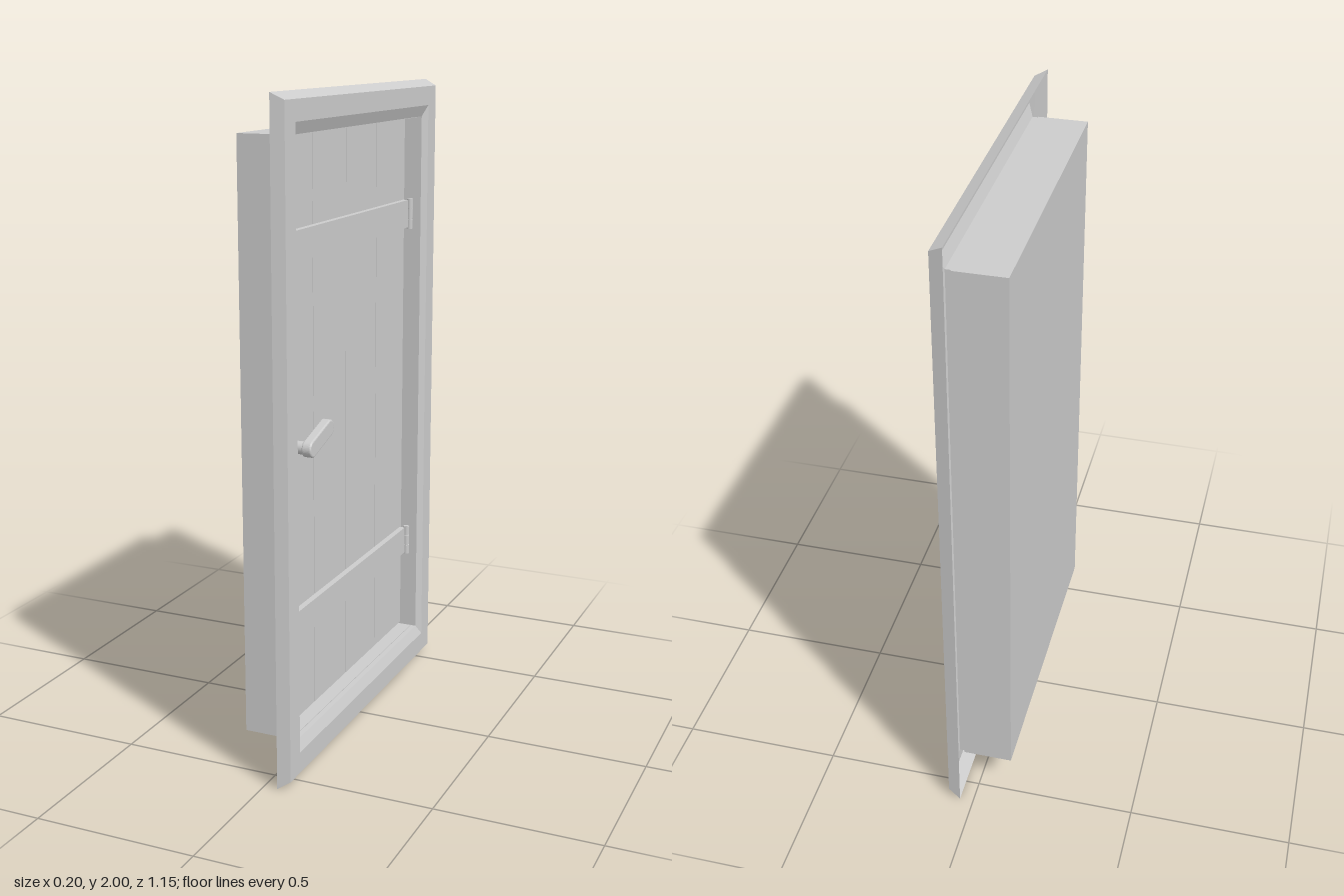
import * as THREE from 'three';

const grey = new THREE.MeshStandardMaterial({ color: 0xcccccc });
const flatGrey = new THREE.MeshStandardMaterial({ color: 0xcccccc, flatShading: true, side: THREE.DoubleSide });

// Box given by its limits on each axis
function block(name, [x0, x1], [y0, y1], [z0, z1]) {
  const mesh = new THREE.Mesh(new THREE.BoxGeometry(x1 - x0, y1 - y0, z1 - z0), grey);
  mesh.position.set((x0 + x1) / 2, (y0 + y1) / 2, (z0 + z1) / 2);
  mesh.name = name;
  return mesh;
}

// Skin joining rectangular rings, each [x, half width, bottom, top]
function rectangularSkin(rings) {
  const corners = ([x, w, b, t]) => [[x, b, w], [x, b, -w], [x, t, -w], [x, t, w]];
  const points = [];
  for (let r = 0; r < rings.length - 1; r++) {
    const a = corners(rings[r]), c = corners(rings[r + 1]);
    for (let i = 0; i < 4; i++) {
      const j = (i + 1) % 4;
      points.push(...a[i], ...a[j], ...c[j], ...a[i], ...c[j], ...c[i]);
    }
  }
  const geometry = new THREE.BufferGeometry();
  geometry.setAttribute('position', new THREE.Float32BufferAttribute(points, 3));
  geometry.computeVertexNormals();
  return geometry;
}

// Rounded lever with softened edges, rising away from its pivot
function lever() {
  const length = 0.12, r = 0.02, bevel = 0.005;
  const shape = new THREE.Shape();
  shape.absarc(0, 0, r, Math.PI / 2, Math.PI * 1.5, false);
  shape.absarc(length, 0, r, -Math.PI / 2, Math.PI / 2, false);
  const geometry = new THREE.ExtrudeGeometry(shape, {
    depth: 0.02, bevelThickness: bevel, bevelSize: bevel, bevelSegments: 3, curveSegments: 10,
  });
  geometry.rotateZ(0.29);
  geometry.rotateY(Math.PI / 2);
  const mesh = new THREE.Mesh(geometry, grey);
  mesh.position.set(0.073, 1.001, 0.424);
  mesh.name = 'handleLever';
  return mesh;
}

export function createModel() {
  const model = new THREE.Group();
  model.name = 'door';

  // Body behind the door and the sleeve carrying the trim
  model.add(block('backBody', [-0.103, 0], [0.12, 1.885], [-0.485, 0.485]));
  const sleeve = new THREE.Mesh(rectangularSkin([
    [0, 0.485, 0.12, 1.885],
    [0.05, 0.485, 0.12, 1.885],
    [0.05, 0.48, 0.124, 1.881],
  ]), flatGrey);
  sleeve.name = 'sleeve';
  model.add(sleeve);

  // Hollow trim: sloped rim, flat face, inner bevel and reveal
  const trim = new THREE.Mesh(rectangularSkin([
    [0.043, 0.575, 0, 2],
    [0.082, 0.565, 0.025, 1.98],
    [0.082, 0.5, 0.09, 1.92],
    [0.067, 0.48, 0.122, 1.885],
    [0, 0.48, 0.122, 1.885],
  ]), flatGrey);
  trim.name = 'frameTrim';
  model.add(trim);

  // Four vertical planks with narrow joints
  for (let i = 0; i < 4; i++) {
    const z = (i - 1.5) * 0.239;
    model.add(block('plank', [-0.005, 0.01], [0.13, 1.875], [z - 0.118, z + 0.118]));
  }

  // Cross straps with three-knuckle hinges
  for (const y of [0.44, 1.57]) {
    model.add(block('strap', [0.005, 0.029], [y - 0.045, y + 0.045], [-0.465, 0.476]));
    for (let k = -1; k <= 1; k++) {
      const knuckle = new THREE.Mesh(new THREE.CylinderGeometry(0.01, 0.01, 0.031, 12), grey);
      knuckle.position.set(0.032, y + k * 0.034, -0.473);
      knuckle.name = 'hingeKnuckle';
      model.add(knuckle);
    }
    const pin = new THREE.Mesh(new THREE.CylinderGeometry(0.007, 0.007, 0.1, 10), grey);
    pin.position.set(0.032, y, -0.473);
    pin.name = 'hingePin';
    model.add(pin);
  }

  // Handle
  const stem = new THREE.Mesh(new THREE.CylinderGeometry(0.019, 0.019, 0.076, 20), grey);
  stem.rotation.z = Math.PI / 2;
  stem.position.set(0.042, 1.001, 0.424);
  stem.name = 'handleStem';
  model.add(stem, lever());

  return model;
}
